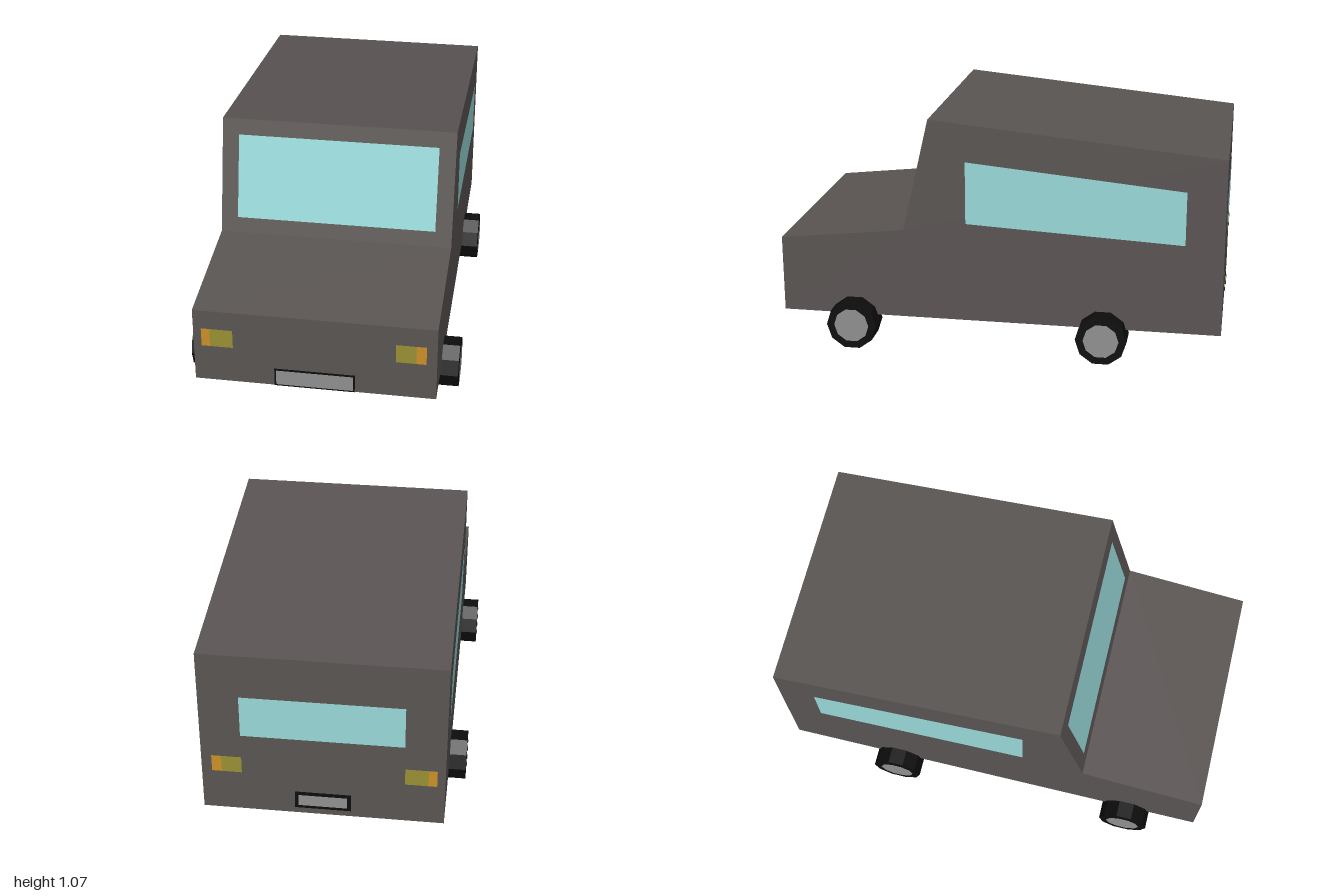
import * as THREE from 'three';

const paint = (color, side = THREE.FrontSide) =>
  new THREE.MeshStandardMaterial({ color, side, flatShading: true });
const bodyMat = paint(0x5a5553);
const tireMat = paint(0x0d0d0d);
const axleMat = paint(0x5a5553);
const hubMat = paint(0x909090);
const glassMat = paint(0x99d9d9, THREE.DoubleSide);
const amberMat = paint(0xcc9028, THREE.DoubleSide);
const lampMat = paint(0x998f33, THREE.DoubleSide);
const frameMat = paint(0x0d0d0d, THREE.DoubleSide);
const plateMat = paint(0x909090, THREE.DoubleSide);

const HALF = 0.525;  // half width of the body
const LIFT = 0.003;  // gap that keeps flat panels clear of the body

function add(parent, name, geometry, material) {
  const mesh = new THREE.Mesh(geometry, material);
  mesh.name = name;
  parent.add(mesh);
  return mesh;
}

// Flat panel from four corners, counter-clockwise seen from outside
function panel(parent, name, corners, material) {
  const geometry = new THREE.BufferGeometry();
  geometry.setAttribute('position', new THREE.Float32BufferAttribute(corners.flat(), 3));
  geometry.setIndex([0, 1, 2, 0, 2, 3]);
  geometry.computeVertexNormals();
  return add(parent, name, geometry, material);
}

// Upright rectangle on the front (end = 1) or rear (end = -1) face
function endPanel(parent, name, end, x0, x1, y0, y1, material, lift = LIFT) {
  const z = end * (1 + lift);
  const corners = [[x0, y0, z], [x1, y0, z], [x1, y1, z], [x0, y1, z]];
  if (end < 0) corners.reverse();
  return panel(parent, name, corners, material);
}

export function createModel() {
  const car = new THREE.Group();
  car.name = 'car';

  // Body: side profile (z, y) extruded across the width
  const profile = [[1, 0.14], [1, 0.49], [0.43, 0.555], [0.31, 1.07], [-1, 0.945], [-1, 0.14]];
  const shape = new THREE.Shape(profile.map(([z, y]) => new THREE.Vector2(z, y)));
  const body = new THREE.ExtrudeGeometry(shape, { depth: 2 * HALF, bevelEnabled: false });
  body.translate(0, 0, -HALF).rotateY(-Math.PI / 2);
  add(car, 'body', body, bodyMat);

  // Windscreen follows the slope of the cab front
  const slopeZ = (y) => 0.43 - ((y - 0.555) / 0.515) * 0.12 + LIFT;
  const [low, high] = [0.625, 1.0];
  panel(car, 'windscreen', [
    [-0.45, low, slopeZ(low)], [0.45, low, slopeZ(low)],
    [0.45, high, slopeZ(high)], [-0.45, high, slopeZ(high)],
  ], glassMat);
  endPanel(car, 'rearWindow', -1, -0.35, 0.35, 0.54, 0.74, glassMat);

  // Side windows
  const sideWindow = [[0.145, 0.6], [-0.83, 0.552], [-0.83, 0.795], [0.145, 0.885]];
  for (const side of [1, -1]) {
    const corners = sideWindow.map(([z, y]) => [side * (HALF + LIFT), y, z]);
    if (side < 0) corners.reverse();
    panel(car, side > 0 ? 'leftWindow' : 'rightWindow', corners, glassMat);
  }

  // Lights: inner lamp and amber outer strip, four corners
  for (const end of [1, -1]) {
    const [y0, y1] = end > 0 ? [0.315, 0.402] : [0.342, 0.424];
    for (const side of [1, -1]) {
      const light = new THREE.Group();
      light.name = (end > 0 ? 'front' : 'rear') + (side > 0 ? 'LeftLight' : 'RightLight');
      const [inner, split, outer] = side > 0 ? [0.35, 0.437, 0.48] : [0.353, 0.453, 0.49];
      const strip = (name, a, b, material) => endPanel(light, name, end,
        Math.min(side * a, side * b), Math.max(side * a, side * b), y0, y1, material);
      strip('lamp', inner, split, lampMat);
      strip('indicator', split, outer, amberMat);
      car.add(light);
    }
  }

  // Blank number plates with dark frames
  for (const [end, w, y0, y1, rim] of [[1, 0.175, 0.14, 0.227, 0.008], [-1, 0.122, 0.17, 0.258, 0.016]]) {
    const plate = new THREE.Group();
    plate.name = end > 0 ? 'frontPlate' : 'rearPlate';
    endPanel(plate, 'plateFrame', end, -w, w, y0, y1, frameMat);
    endPanel(plate, 'plateFace', end, -w + rim, w - rim, y0 + rim, y1 - rim, plateMat, 2 * LIFT);
    car.add(plate);
  }

  // Axles with ten-sided wheels and hub discs
  for (const [name, z] of [['front', 0.665], ['rear', -0.475]]) {
    const axle = new THREE.Group();
    axle.name = name + 'Axle';
    axle.position.set(0, 0.11, z);
    add(axle, 'axleBar', new THREE.CylinderGeometry(0.05, 0.05, 0.98, 10).rotateZ(Math.PI / 2), axleMat);
    for (const side of [1, -1]) {
      const wheel = new THREE.Group();
      wheel.name = name + (side > 0 ? 'LeftWheel' : 'RightWheel');
      wheel.position.x = side * 0.5415;
      add(wheel, 'tire', new THREE.CylinderGeometry(0.115, 0.115, 0.119, 10).rotateZ(Math.PI / 2), tireMat);
      const hub = add(wheel, 'hub', new THREE.CircleGeometry(0.08, 10).rotateY(side * Math.PI / 2), hubMat);
      hub.position.x = side * 0.062;
      axle.add(wheel);
    }
    car.add(axle);
  }
  return car;
}
